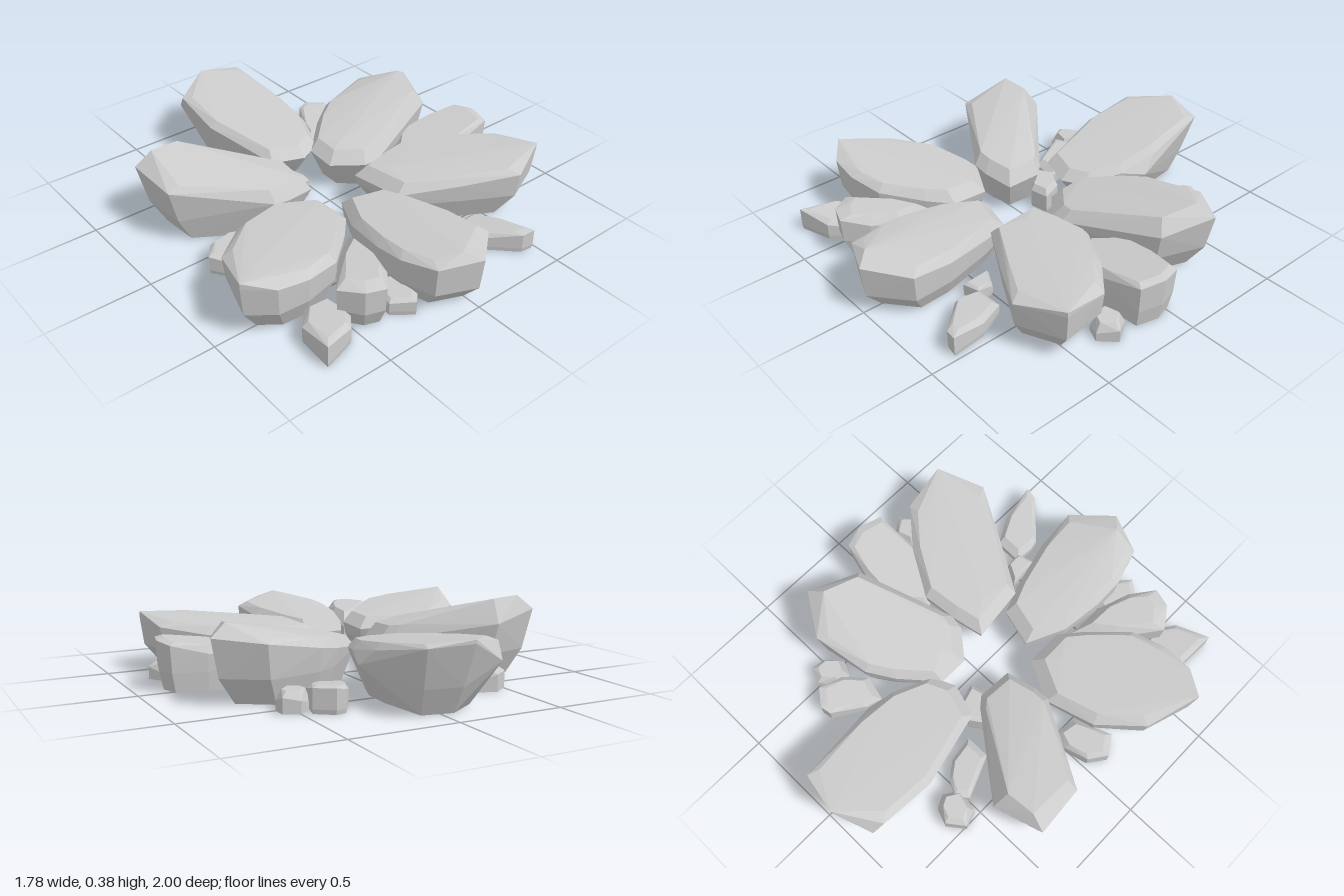
import * as THREE from 'three';
import { ConvexGeometry } from 'three/addons/geometries/ConvexGeometry.js';

const material = new THREE.MeshStandardMaterial({ color: 0xcccccc, flatShading: true, side: THREE.DoubleSide });

// Convex shell of the points, left open where it rests on the ground.
function openShell(points) {
  const source = new ConvexGeometry(points).getAttribute('position').array;
  const kept = [];
  for (let i = 0; i < source.length; i += 9) {
    const top = Math.max(source[i + 1], source[i + 4], source[i + 7]);
    if (top > 0.001) kept.push(...source.slice(i, i + 9));
  }
  const geometry = new THREE.BufferGeometry();
  geometry.setAttribute('position', new THREE.Float32BufferAttribute(kept, 3));
  geometry.computeVertexNormals();
  return geometry;
}

// A faceted rock: a plan outline [x, z], lofted through base, waist, rim and crown rings.
// Its top runs from the inner height near the centre to the outer height.
function rock(name, outline, o) {
  const n = outline.length;
  const cx = outline.reduce((s, p) => s + p[0], 0) / n;
  const cz = outline.reduce((s, p) => s + p[1], 0) / n;
  const len = Math.hypot(cx, cz), dx = cx / len, dz = cz / len;
  const along = ([x, z]) => x * dx + z * dz;
  const near = Math.min(...outline.map(along)), far = Math.max(...outline.map(along));
  const pts = [];
  const add = (p, k, y) => pts.push(new THREE.Vector3(cx + (p[0] - cx) * k, y, cz + (p[1] - cz) * k));
  const { inner, outer, drop = 0.05, base = 0.74, waist = 0.96, waistY = 0.12, crown = 0.84 } = o;
  for (const p of outline) {
    const t = (along(p) - near) / (far - near);
    const h = inner + (outer - inner) * t;
    add(p, base, 0);
    add(p, waist, waistY);
    add(p, 1, h - drop * (1 - 0.7 * t * t)); // rim, lower at the sides and inner end
    add(p, crown, h - (outer - inner) * (t - 0.5) * (1 - crown));
  }
  for (const peak of o.peaks || []) pts.push(new THREE.Vector3(...peak));
  const mesh = new THREE.Mesh(openShell(pts), material);
  mesh.name = name;
  return mesh;
}

export function createModel() {
  const model = new THREE.Group();
  model.name = 'rockRing';

  // Six large slabs fanned around the open centre
  model.add(
    rock('backRock', [[-0.07, -1], [0.13, -0.96], [0.17, -0.62], [0.16, -0.4], [0.09, -0.22],
      [-0.02, -0.17], [-0.18, -0.22], [-0.28, -0.6], [-0.27, -0.87]],
    { inner: 0.21, outer: 0.32, drop: 0.04, base: 0.7, waist: 0.84, crown: 0.86,
      peaks: [[-0.25, 0.21, -0.93], [-0.17, 0.18, -0.93], [0.2, 0.16, -0.53], [-0.07, 0.325, -1]] }),
    rock('backRightRock', [[-0.8, -0.42], [-0.56, -0.48], [-0.42, -0.36], [-0.18, -0.17], [-0.14, -0.12],
      [-0.15, 0.05], [-0.3, 0.08], [-0.38, 0.08], [-0.78, -0.17]],
    { inner: 0.22, outer: 0.33, drop: 0.06, waist: 0.9,
      peaks: [[-0.72, 0.38, -0.4], [-0.58, 0.37, -0.41], [-0.22, 0.235, -0.01]] }),
    rock('backLeftRock', [[0.59, -0.48], [0.79, -0.35], [0.7, -0.1], [0.24, 0.07], [0.17, 0.06],
      [0.04, -0.05], [0.04, -0.2], [0.2, -0.35], [0.32, -0.43], [0.42, -0.42]],
    { inner: 0.21, outer: 0.31, drop: 0.05, waist: 0.92,
      peaks: [[0.71, 0.35, -0.31], [0.66, 0.325, -0.14], [0.14, 0.235, -0.1]] }),
    rock('frontRightRock', [[-0.89, 0.54], [-0.81, 0.29], [-0.62, 0.13], [-0.38, 0.07], [-0.19, 0.17],
      [-0.19, 0.35], [-0.28, 0.45], [-0.45, 0.6], [-0.62, 0.64], [-0.77, 0.63]],
    { inner: 0.22, outer: 0.28, peaks: [[-0.89, 0.295, 0.54], [-0.3, 0.235, 0.25]] }),
    rock('frontLeftRock', [[0.07, 0.1], [0.22, 0.07], [0.4, 0.05], [0.62, 0.18], [0.79, 0.33],
      [0.82, 0.56], [0.6, 0.66], [0.35, 0.52], [0.1, 0.37], [0.09, 0.25]],
    { inner: 0.22, outer: 0.27, peaks: [[0.82, 0.28, 0.56], [0.18, 0.235, 0.22]] }),
    rock('frontRock', [[0.01, 1], [-0.18, 0.92], [-0.23, 0.75], [-0.23, 0.6], [-0.2, 0.4], [-0.11, 0.22],
      [0.07, 0.27], [0.12, 0.4], [0.18, 0.65], [0.19, 0.85]],
    { inner: 0.21, outer: 0.26, base: 0.76, waistY: 0.09, peaks: [[-0.05, 0.28, 0.93]] }),
  );

  // Medium slabs tucked between the large ones
  model.add(
    rock('leftSideRock', [[0.86, -0.03], [0.89, 0.07], [0.86, 0.19], [0.62, 0.21], [0.45, 0.14],
      [0.37, 0.04], [0.5, -0.08], [0.7, -0.07]], { inner: 0.16, outer: 0.24, base: 0.88, waistY: 0.09 }),
    rock('frontSideRock', [[-0.23, 0.42], [-0.38, 0.52], [-0.55, 0.72], [-0.48, 0.82], [-0.39, 0.85],
      [-0.3, 0.75], [-0.24, 0.6]], { inner: 0.2, outer: 0.23, drop: 0.06, waistY: 0.09, crown: 0.65 }),
  );

  // Low crystal stubs around the foot: outline, inner height, outer height
  const flatStubs = [
    [[[-0.43, -0.5], [-0.38, -0.54], [-0.3, -0.5], [-0.24, -0.42], [-0.22, -0.29], [-0.34, -0.29]], 0.08, 0.1],
    [[[0.22, -0.44], [0.24, -0.52], [0.33, -0.67], [0.38, -0.68], [0.46, -0.62], [0.43, -0.5], [0.34, -0.41]], 0.08, 0.12],
    [[[-0.76, 0.1], [-0.7, 0.02], [-0.58, -0.01], [-0.5, 0.02], [-0.52, 0.12], [-0.7, 0.19]], 0.09, 0.1],
    [[[0.25, 0.65], [0.26, 0.56], [0.39, 0.56], [0.46, 0.7], [0.48, 0.87], [0.42, 0.86], [0.26, 0.7]], 0.07, 0.11],
    [[[-0.72, 0.88], [-0.71, 0.7], [-0.62, 0.6], [-0.5, 0.6], [-0.49, 0.74], [-0.56, 0.83]], 0.08, 0.12],
    [[[-0.33, 0.8], [-0.24, 0.87], [-0.19, 0.82], [-0.2, 0.65], [-0.3, 0.62]], 0.07, 0.08],
    [[[-0.23, -0.2], [-0.17, -0.24], [-0.08, -0.2], [-0.05, -0.1], [-0.14, -0.08], [-0.2, -0.14]], 0.12, 0.13],
    [[[0.18, 0.45], [0.27, 0.5], [0.27, 0.58], [0.19, 0.6]], 0.07, 0.07],
  ];
  flatStubs.forEach(([outline, inner, outer], i) => model.add(rock('flatStub' + (i + 1), outline,
    { inner, outer, drop: 0.03, base: 0.97, waist: 1, waistY: 0.02, crown: 0.75 })));

  // Upright stubs that taper to a small cap
  const taperedStubs = [
    [[[-0.51, -0.6], [-0.43, -0.66], [-0.35, -0.63], [-0.32, -0.57], [-0.37, -0.49], [-0.48, -0.52]], 0.11, 0.1],
    [[[0.42, -0.53], [0.5, -0.6], [0.57, -0.57], [0.57, -0.5], [0.5, -0.43], [0.43, -0.46]], 0.09, 0.09],
    [[[0.7, 0.24], [0.8, 0.21], [0.86, 0.3], [0.79, 0.37], [0.72, 0.34]], 0.09, 0.08],
  ];
  taperedStubs.forEach(([outline, inner, outer], i) => model.add(rock('taperedStub' + (i + 1), outline,
    { inner, outer, drop: 0.07, base: 1, waist: 0.98, waistY: 0.01, crown: 0.65 })));

  return model;
}
